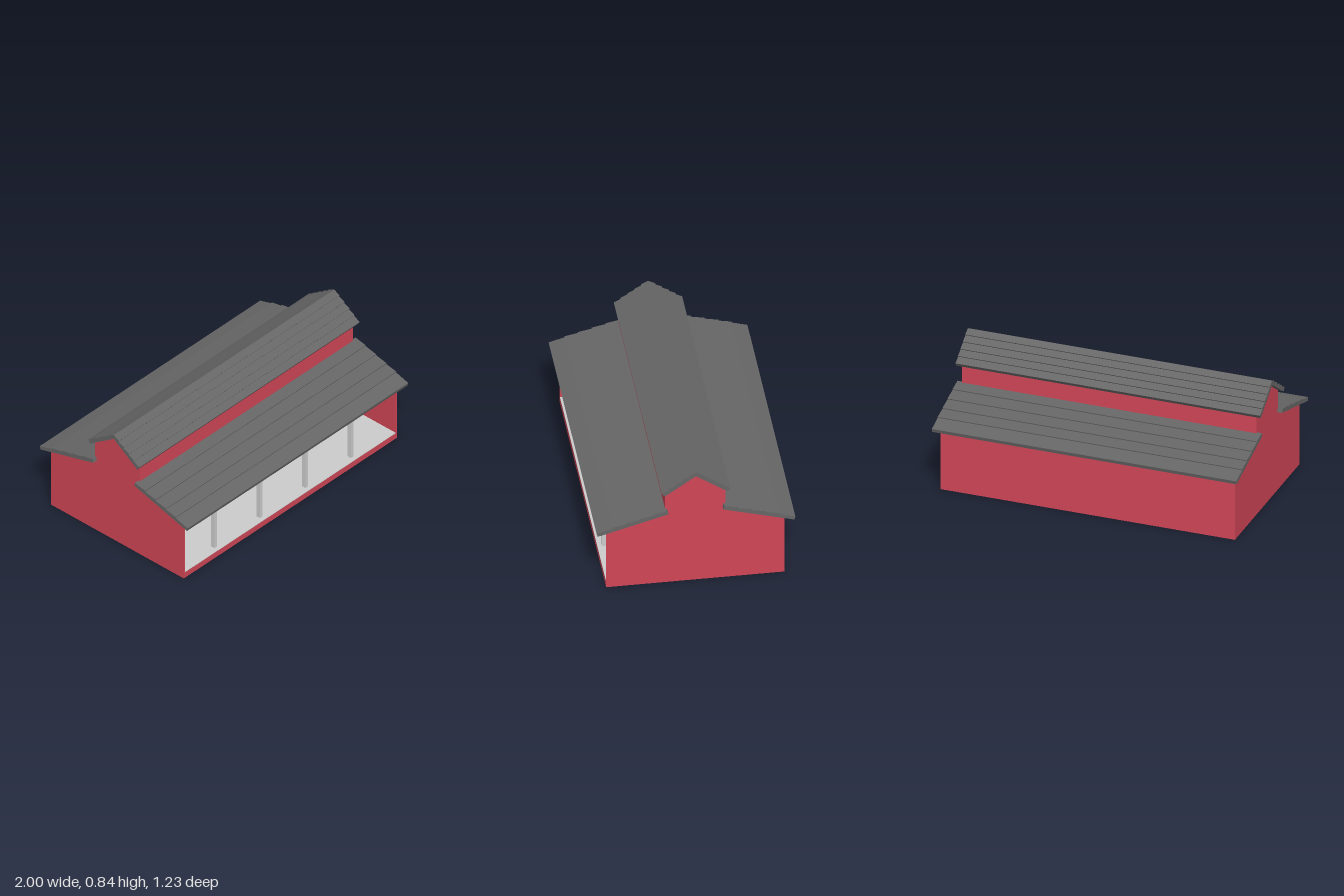
import * as THREE from 'three';

const red = new THREE.MeshStandardMaterial({ color: 0xd04556, flatShading: true });
const dark = new THREE.MeshStandardMaterial({ color: 0x666666, flatShading: true });
const grey = new THREE.MeshStandardMaterial({ color: 0xcccccc, flatShading: true });

const WALL_X = 0.967, WALL_Z = 0.553, WALL = 0.012, FLOOR = 0.045;

function add(parent, name, geometry, material, x = 0, y = 0, z = 0) {
  const mesh = new THREE.Mesh(geometry, material);
  mesh.name = name;
  mesh.position.set(x, y, z);
  parent.add(mesh);
  return mesh;
}

// Extrude a [z, y] outline along x, from x0 to x1
function extrudeX(points, x0, x1) {
  const shape = new THREE.Shape(points.map(([z, y]) => new THREE.Vector2(-z, y)));
  const geometry = new THREE.ExtrudeGeometry(shape, { depth: x1 - x0, bevelEnabled: false });
  return geometry.rotateY(Math.PI / 2).translate(x0, 0, 0);
}

// Saw-tooth section of overlapping boards, from the eave up to the top
function boardProfile(eave, top, steps, eaveT, lowT, highT, end) {
  const a = new THREE.Vector2(...eave), b = new THREE.Vector2(...top);
  const length = a.distanceTo(b);
  const u = b.clone().sub(a).normalize();
  const n = new THREE.Vector2(-u.y, u.x);
  if (n.y < 0) n.negate();
  const at = (s, t) => [a.x + u.x * s + n.x * t, a.y + u.y * s + n.y * t];
  const points = [eave, at(0, eaveT)];
  for (const s of steps) points.push(at(s, highT), at(s, lowT));
  points.push(end ?? at(length, highT), top);
  return points;
}

export function createModel() {
  const model = new THREE.Group();
  model.name = 'barn';

  // Base, floor and long walls
  add(model, 'base', new THREE.BoxGeometry(WALL_X * 2, FLOOR - 0.002, WALL_Z * 2), red, 0, (FLOOR - 0.002) / 2);
  add(model, 'floor', new THREE.BoxGeometry(WALL_X * 2 - WALL * 2, 0.004, WALL_Z * 2 - WALL), grey, 0, FLOOR - 0.002, WALL / 2);
  add(model, 'backWall', new THREE.BoxGeometry(WALL_X * 2, 0.43, WALL), red, 0, 0.215, -WALL_Z + WALL / 2);

  // Gabled end walls
  const half = [[WALL_Z, 0], [WALL_Z, 0.43], [0.187, 0.535], [0.187, 0.68]];
  const gable = [...half, [0, 0.81], ...half.map(([z, y]) => [-z, y]).reverse()];
  add(model, 'leftEndWall', extrudeX(gable, WALL_X - WALL, WALL_X), red);
  add(model, 'rightEndWall', extrudeX(gable, -WALL_X, -WALL_X + WALL), red);

  // Raised centre walls and both roof tiers, mirrored front to back
  const lower = boardProfile([0.61, 0.414], [0.17, 0.538], [0.105, 0.19, 0.28, 0.37], 0.024, 0.032, 0.025);
  const upper = boardProfile([0.196, 0.674], [0, 0.81], [0.052, 0.103, 0.155, 0.206], 0.029, 0.031, 0.023, [0, 0.84]);
  for (const side of [1, -1]) {
    const where = side > 0 ? 'front' : 'back';
    const flip = (points) => points.map(([z, y]) => [z * side, y]);
    add(model, where + 'UpperWall', new THREE.BoxGeometry(WALL_X * 2, 0.145, WALL), red, 0, 0.6075, side * (0.187 - WALL / 2));
    add(model, where + 'LowerRoof', extrudeX(flip(lower), -1, 1), dark);
    add(model, where + 'UpperRoof', extrudeX(flip(upper), -1, 1), dark);
  }

  // Forked posts along the open front
  const right = [[0.012, FLOOR], [0.012, 0.311], [0.072, 0.352], [0.092, 0.352], [0.092, 0.442], [0.066, 0.442], [0.066, 0.372]];
  const outline = [...right, [0, 0.328], ...right.map(([x, y]) => [-x, y]).reverse()];
  const post = new THREE.ExtrudeGeometry(
    new THREE.Shape(outline.map(([x, y]) => new THREE.Vector2(x, y))),
    { depth: 0.028, bevelEnabled: false });
  for (let i = 0; i < 4; i++) add(model, 'forkedPost', post, grey, -0.645 + i * 0.413, 0, 0.495);

  return model;
}
